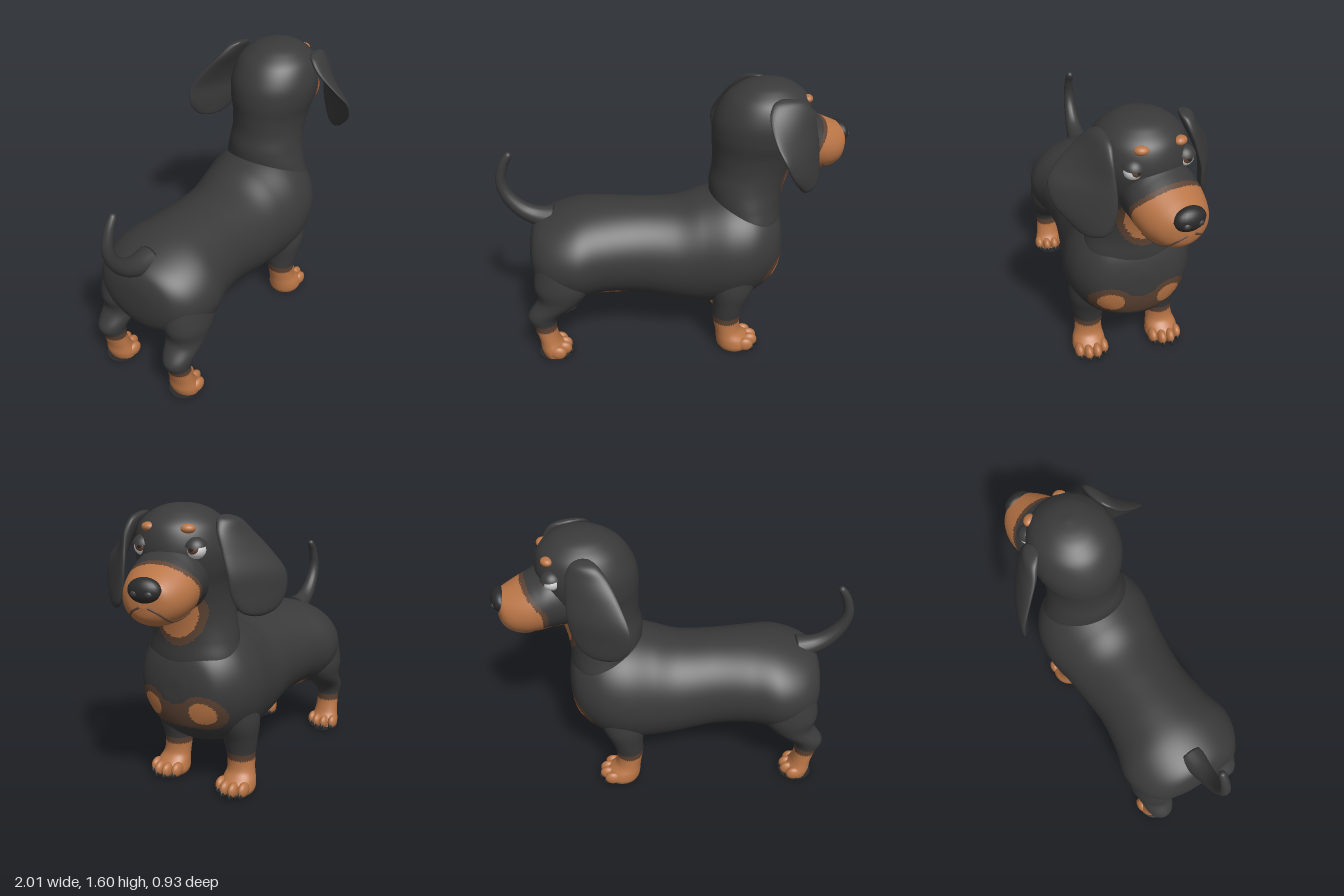
import * as THREE from 'three';

const mat = (name, color) => {
  const m = new THREE.MeshStandardMaterial({ color });
  m.name = name;
  return m;
};
const black = mat('black coat', 0x3a3a3a);
const brown = mat('dark brown edge', 0x5c4233);
const tan = mat('tan coat', 0xb97546);
const noseMat = mat('nose and claws', 0x2a2a2b);
const white = mat('eye white', 0xd8d8d8);
const iris = mat('iris', 0x6a4a3a);
const COAT = [black, brown, tan];

// Smooth blend between the rows of a profile table
function sample(rows, t) {
  const n = rows.length - 1, f = t * n, i = Math.min(Math.floor(f), n - 1), k = f - i;
  const r = (j) => rows[Math.max(0, Math.min(n, j))];
  return rows[0].map((_, c) => {
    const a = r(i - 1)[c], b = r(i)[c], d = r(i + 1)[c], e = r(i + 2)[c];
    return b + 0.5 * k * (d - a + k * (2 * a - 5 * b + 4 * d - e + k * (3 * (b - d) + e - a)));
  });
}

// Closed loft; ring(row) gives centre c and half-axes u, v of an elliptical section
function pointOn(rows, ring, t, a) {
  const { c, u, v } = ring(sample(rows, t)), s = Math.sin(a), k = Math.cos(a);
  return c.map((x, i) => x + u[i] * k + v[i] * s);
}
function loft(rows, ring, nu, nv) {
  const pos = [], idx = [];
  for (let i = 0; i <= nu; i++)
    for (let j = 0; j < nv; j++) pos.push(...pointOn(rows, ring, i / nu, (j / nv) * Math.PI * 2));
  const first = pos.length / 3, last = first + 1;
  pos.push(...ring(rows[0]).c, ...ring(rows[rows.length - 1]).c);
  for (let j = 0; j < nv; j++) {
    const j2 = (j + 1) % nv;
    idx.push(first, j2, j, last, nu * nv + j, nu * nv + j2);
    for (let i = 0; i < nu; i++) {
      const a = i * nv + j, b = i * nv + j2;
      idx.push(a, b, a + nv, b, b + nv, a + nv);
    }
  }
  // Turn the faces outward when the enclosed volume is negative
  let vol = 0;
  const P = (k) => new THREE.Vector3().fromArray(pos, idx[k] * 3);
  for (let k = 0; k < idx.length; k += 3) vol += P(k).dot(P(k + 1).cross(P(k + 2)));
  if (vol < 0) idx.reverse();
  const g = new THREE.BufferGeometry();
  g.setAttribute('position', new THREE.Float32BufferAttribute(pos, 3));
  g.setIndex(idx);
  g.computeVertexNormals();
  return g;
}

// Sort faces into coat colours by a rule on the face centre
function paint(g, rule) {
  const src = g.index.array, p = g.attributes.position, bins = [[], [], []];
  for (let k = 0; k < src.length; k += 3) {
    const t = [src[k], src[k + 1], src[k + 2]];
    const mid = (f) => (f.call(p, t[0]) + f.call(p, t[1]) + f.call(p, t[2])) / 3;
    bins[rule(mid(p.getX), mid(p.getY), mid(p.getZ))].push(...t);
  }
  let start = 0;
  bins.forEach((b, m) => {
    if (b.length) g.addGroup(start, b.length, m);
    start += b.length;
  });
  g.setIndex(bins.flat());
  return g;
}
const level = (q, outer) => (q < 1 ? 2 : q < outer ? 1 : 0);

// Tan markings of the coat: legs, chest spots, throat and belly
function coat(x, y, z) {
  if (y < 0.225) return y < 0.185 ? 2 : 1;
  const az = Math.abs(z);
  if (x > 0.5 && y < 0.75) {
    const q = ((az - 0.16) / 0.07) ** 2 + ((y - 0.525) / 0.066) ** 2;
    return q > 1 && az < 0.16 && y > 0.43 && y < 0.56 + az * 0.3 ? 1 : level(q, 2.5);
  }
  if (x > 0.5 && y < 1.2) return level(((z + 0.02) / 0.125) ** 2 + ((y - 1.08) / 0.155) ** 2, 1.6);
  if (x < -0.15 && y < 0.42) return level(((x + 0.38) / 0.125) ** 2 + (z / 0.24) ** 2, 1.4);
  return 0;
}
// Muzzle is tan, with the black bridge running further forward
function muzzleCoat(x, y) {
  const edge = y < 1.12 ? 0.15 : 0.285 + 0.09 * THREE.MathUtils.smoothstep(y, 1.2, 1.37);
  return x > edge ? 2 : x > edge - 0.03 ? 1 : 0;
}

// Section types: across the length, across the height, and flat ear flaps
const alongX = ([x, top, bot, w]) => ({ c: [x, (top + bot) / 2, 0], u: [0, (top - bot) / 2, 0], v: [0, 0, w] });
const alongY = ([y, x0, x1, z, w]) => ({ c: [(x0 + x1) / 2, y, z], u: [(x1 - x0) / 2, 0, 0], v: [0, 0, w] });
const flap = ([y, ax, az, bx, bz, th]) => {
  const dx = (bx - ax) / 2, dz = (bz - az) / 2, l = Math.hypot(dx, dz);
  return { c: [(ax + bx) / 2, y, (az + bz) / 2], u: [dx, 0, dz], v: [(-dz / l) * th, 0, (dx / l) * th] };
};
const tailRing = ([x, y, r, a]) => ({ c: [x, y, 0], u: [-Math.sin(a) * r, Math.cos(a) * r, 0], v: [0, 0, r] });

const BODY = [
  [-0.835, 0.64, 0.56, 0.05], [-0.825, 0.72, 0.48, 0.15], [-0.79, 0.79, 0.41, 0.25], [-0.7, 0.84, 0.35, 0.325],
  [-0.56, 0.88, 0.32, 0.355], [-0.4, 0.89, 0.33, 0.315], [-0.2, 0.885, 0.31, 0.29], [0, 0.885, 0.265, 0.305],
  [0.15, 0.93, 0.24, 0.325], [0.3, 0.97, 0.245, 0.35], [0.42, 0.97, 0.285, 0.34], [0.51, 0.94, 0.335, 0.3],
  [0.58, 0.88, 0.4, 0.24], [0.615, 0.81, 0.47, 0.17], [0.635, 0.72, 0.55, 0.08], [0.638, 0.66, 0.6, 0.03]];
const HEAD = [
  [0.6, 0.32, 0.57, 0, 0.2], [0.7, 0.28, 0.605, 0, 0.25], [0.8, 0.25, 0.62, 0, 0.265], [0.9, 0.215, 0.62, 0, 0.245],
  [1, 0.205, 0.635, 0, 0.222], [1.1, 0.22, 0.665, 0, 0.212], [1.2, 0.22, 0.71, 0, 0.22], [1.3, 0.215, 0.75, 0, 0.243],
  [1.4, 0.23, 0.765, 0, 0.247], [1.5, 0.285, 0.74, 0, 0.215], [1.56, 0.36, 0.675, 0, 0.15],
  [1.588, 0.43, 0.61, 0, 0.085], [1.6, 0.51, 0.53, 0, 0.01]];
const MUZZLE = [
  [0.1, 1.42, 1.06, 0.17], [0.22, 1.42, 1.065, 0.185], [0.3, 1.385, 1.058, 0.187], [0.38, 1.347, 1.055, 0.17],
  [0.45, 1.315, 1.075, 0.135], [0.49, 1.295, 1.115, 0.09], [0.505, 1.26, 1.17, 0.03]];
const LEGS = {
  front: { tip: 0.495, sole: 0.36, rows: [
    [0.58, 0.22, 0.5, 0.2, 0.11], [0.42, 0.21, 0.46, 0.215, 0.115], [0.3, 0.222, 0.41, 0.215, 0.098],
    [0.2, 0.225, 0.385, 0.215, 0.08], [0.12, 0.24, 0.39, 0.22, 0.08], [0.07, 0.245, 0.44, 0.225, 0.093],
    [0.03, 0.25, 0.46, 0.225, 0.098], [0.006, 0.26, 0.45, 0.225, 0.09]] },
  hind: { tip: -0.615, sole: -0.715, rows: [
    [0.62, -0.79, -0.48, 0.2, 0.13], [0.48, -0.81, -0.48, 0.22, 0.128], [0.38, -0.795, -0.54, 0.225, 0.11],
    [0.28, -0.858, -0.67, 0.235, 0.082], [0.2, -0.83, -0.7, 0.235, 0.068], [0.11, -0.805, -0.685, 0.235, 0.074],
    [0.05, -0.8, -0.65, 0.235, 0.088], [0.006, -0.785, -0.65, 0.235, 0.085]] },
};
const EARS = {
  leftEar: [[1.55, 0.6, 0.2, 0.54, 0.21, 0.012], [1.53, 0.68, 0.19, 0.5, 0.24, 0.03], [1.47, 0.73, 0.19, 0.48, 0.3, 0.035],
    [1.38, 0.755, 0.185, 0.5, 0.4, 0.03], [1.3, 0.77, 0.18, 0.54, 0.46, 0.028], [1.2, 0.78, 0.185, 0.59, 0.445, 0.028],
    [1.11, 0.775, 0.215, 0.65, 0.375, 0.025], [1.075, 0.75, 0.25, 0.68, 0.335, 0.018], [1.065, 0.72, 0.28, 0.71, 0.3, 0.004]],
  rightEar: [[1.55, 0.51, -0.22, 0.45, -0.23, 0.012], [1.53, 0.55, -0.23, 0.41, -0.27, 0.035], [1.47, 0.58, -0.25, 0.36, -0.31, 0.035],
    [1.38, 0.585, -0.28, 0.31, -0.38, 0.03], [1.27, 0.585, -0.31, 0.265, -0.45, 0.028], [1.17, 0.57, -0.32, 0.265, -0.46, 0.028],
    [1.09, 0.53, -0.345, 0.31, -0.445, 0.025], [1.06, 0.48, -0.37, 0.36, -0.42, 0.018], [1.05, 0.43, -0.39, 0.41, -0.4, 0.004]],
};
const TAIL = [
  [-0.7, 0.79, 0.075, 2.9], [-0.8, 0.815, 0.056, 2.75], [-0.88, 0.865, 0.046, 2.35], [-0.945, 0.95, 0.037, 2],
  [-0.967, 1.04, 0.031, 1.6], [-0.945, 1.13, 0.026, 1.25], [-0.91, 1.19, 0.02, 1.05], [-0.902, 1.204, 0.005, 1.05]];

function add(parent, name, geo, material) {
  const m = new THREE.Mesh(geo, material);
  m.name = name;
  parent.add(m);
  return m;
}
function ball(parent, name, material, at, size) {
  const m = add(parent, name, new THREE.SphereGeometry(1, 20, 14), material);
  m.position.set(...at);
  m.scale.set(...size);
  return m;
}

export function createModel() {
  const dog = new THREE.Group();
  dog.name = 'dog';
  add(dog, 'body', paint(loft(BODY, alongX, 150, 110), coat), COAT);
  add(dog, 'neckAndHead', paint(loft(HEAD, alongY, 110, 100), coat), COAT);
  add(dog, 'tail', loft(TAIL, tailRing, 40, 18), black);
  for (const name in EARS) add(dog, name, loft(EARS[name], flap, 40, 32), black);

  // Legs with toes, claws and soles
  for (const kind in LEGS) for (const side of [1, -1]) {
    const { tip, sole, rows } = LEGS[kind], leg = new THREE.Group();
    leg.name = kind + (side > 0 ? 'LeftLeg' : 'RightLeg');
    dog.add(leg);
    const rowsSide = rows.map(([y, a, b, z, w]) => [y, a, b, z * side, w]);
    add(leg, 'leg', paint(loft(rowsSide, alongY, 56, 36), coat), COAT);
    const z0 = rows[7][3] * side;
    [-0.072, -0.025, 0.025, 0.072].forEach((dz) => {
      const x = tip - 0.05 - (Math.abs(dz) > 0.05 ? 0.03 : 0);
      ball(leg, 'toe', tan, [x, 0.045, z0 + dz], [0.046, 0.042, 0.027]);
      ball(leg, 'claw', noseMat, [x + 0.037, 0.022, z0 + dz], [0.017, 0.021, 0.012]);
    });
    const pad = add(leg, 'sole', new THREE.CylinderGeometry(1, 1, 0.01, 28), noseMat);
    pad.position.set(sole, 0.005, z0);
    pad.scale.set(0.1, 1, 0.088);
  }

  // Face, turned slightly to the dog's right
  const face = new THREE.Group();
  face.name = 'face';
  face.position.x = 0.48;
  face.rotation.y = 0.21;
  dog.add(face);
  add(face, 'muzzle', paint(loft(MUZZLE, alongX, 70, 64), muzzleCoat), COAT);
  ball(face, 'nose', noseMat, [0.485, 1.25, 0], [0.05, 0.062, 0.085]);
  for (const s of [1, -1]) {
    ball(face, 'nostril', black, [0.524, 1.24, s * 0.035], [0.012, 0.016, 0.02]);
    // Mouth line follows the muzzle surface
    const pts = [0.97, 0.85, 0.72, 0.58, 0.46, 0.38].map((t, i) =>
      new THREE.Vector3(...pointOn(MUZZLE, alongX, t, Math.PI - s * [0.6, 0.85, 0.82, 0.72, 0.78, 0.95][i])));
    add(face, 'mouthLine', new THREE.TubeGeometry(new THREE.CatmullRomCurve3(pts), 24, 0.006, 6), brown);
    ball(face, 'eyeWhite', white, [0.212, 1.4, s * 0.138], [0.048, 0.046, 0.05]);
    ball(face, 'iris', iris, [0.235, 1.408, s * 0.138], [0.032, 0.033, 0.033]);
    ball(face, 'pupil', noseMat, [0.253, 1.41, s * 0.137], [0.016, 0.018, 0.018]);
    const lid = add(face, 'upperEyelid', new THREE.SphereGeometry(0.06, 24, 10, 0, Math.PI * 2, 0, 1.25), black);
    lid.position.set(0.212, 1.402, s * 0.138);
    lid.rotation.z = -0.1;
    ball(face, 'browSpot', tan, [0.225, 1.5, s * 0.105], [0.03, 0.023, 0.037]).rotation.y = -s * 0.4;
  }
  return dog;
}
